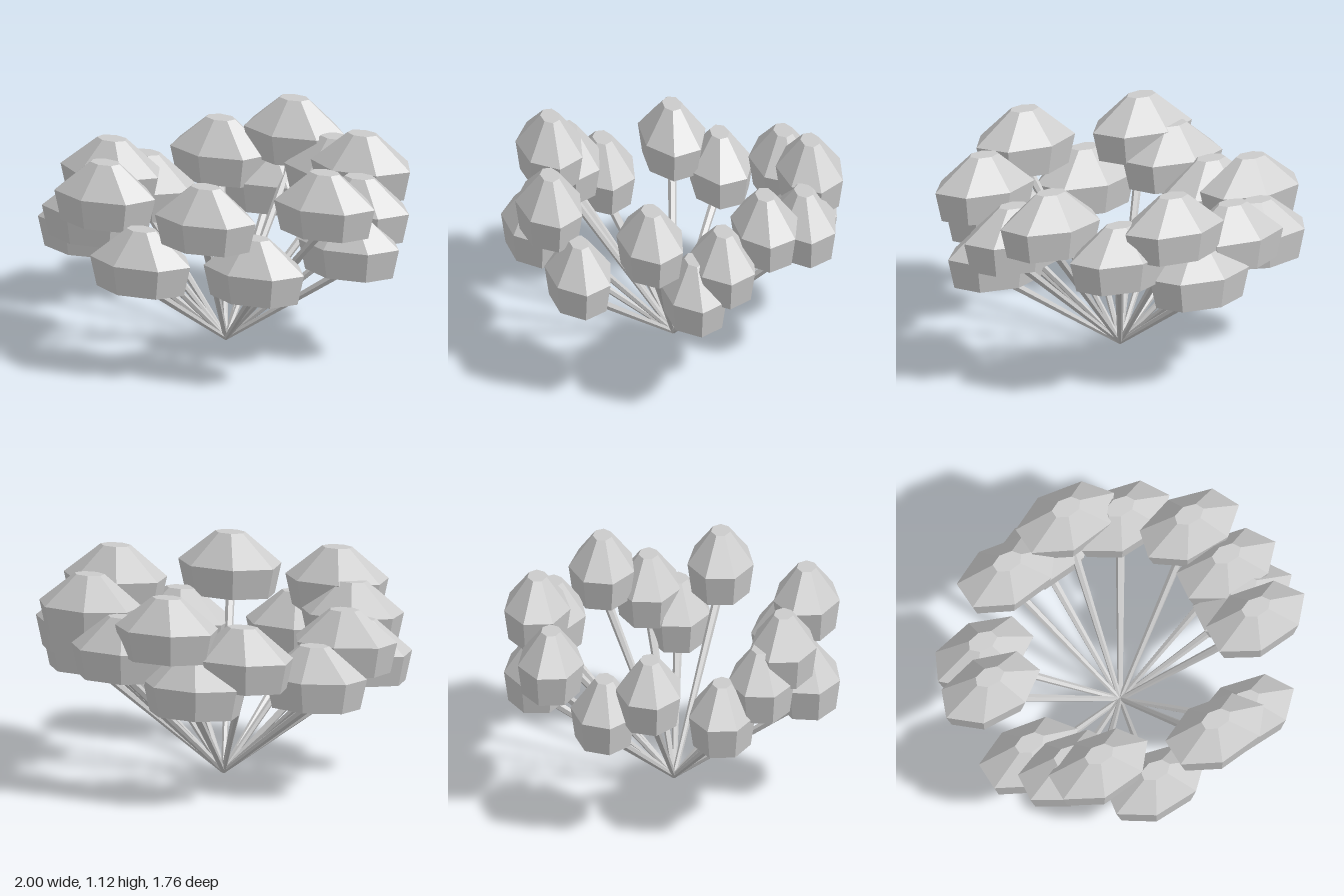
import * as THREE from 'three';

const RING = 0.72;                 // distance of each head from the root
const ROOT = new THREE.Vector3(-0.04, 0.012, 0);
const LEVELS = [0.5, 0.645, 0.79]; // underside heights of the heads

// [bearing in degrees from +x towards +z, height level, facet phase in degrees]
const BLOOMS = [
  [1, 0, 2], [19.2, 2, 0], [53, 0, 3], [73.7, 2, -2],
  [103, 0, 4], [126.6, 2, -1], [140, 1, 2], [159, 0, -2],
  [189.5, 1, 12], [209.7, 0, 15], [243, 1, -3], [263, 0, 0],
  [275, 2, -3], [298, 1, 3], [328, 2, 7], [348.6, 1, 2],
];

const material = new THREE.MeshStandardMaterial({ color: 0xcccccc, flatShading: true });

// Seven-sided closed head, turned by its phase and then stretched along x
function headGeometry(phase) {
  const profile = [[0, 0], [0.87, 0], [1, 0.163], [0.29, 0.33], [0, 0.33]]
    .map(([r, y]) => new THREE.Vector2(r, y));
  const geometry = new THREE.LatheGeometry(profile, 7);
  geometry.rotateY(Math.PI / 2 - phase);
  geometry.scale(0.287, 1, 0.178);
  return geometry;
}

// Tapered six-sided stem between two points
function makeStem(from, to) {
  const along = to.clone().sub(from);
  const stem = new THREE.Mesh(new THREE.CylinderGeometry(0.025, 0.013, along.length(), 6), material);
  stem.position.copy(from).addScaledVector(along, 0.5);
  stem.quaternion.setFromUnitVectors(new THREE.Vector3(0, 1, 0), along.normalize());
  stem.name = 'stem';
  return stem;
}

export function createModel() {
  const model = new THREE.Group();
  model.name = 'flowerCluster';

  for (const [bearing, level, phase] of BLOOMS) {
    const a = THREE.MathUtils.degToRad(bearing);
    const base = new THREE.Vector3(
      ROOT.x + RING * Math.cos(a), LEVELS[level], RING * Math.sin(a));

    const bloom = new THREE.Group();
    bloom.name = 'bloom';

    const head = new THREE.Mesh(headGeometry(THREE.MathUtils.degToRad(phase)), material);
    head.position.copy(base);
    head.name = 'head';

    // The stem ends just inside the head
    const tip = base.clone().add(new THREE.Vector3(0, 0.02, 0));
    bloom.add(makeStem(ROOT, tip), head);
    model.add(bloom);
  }
  return model;
}
